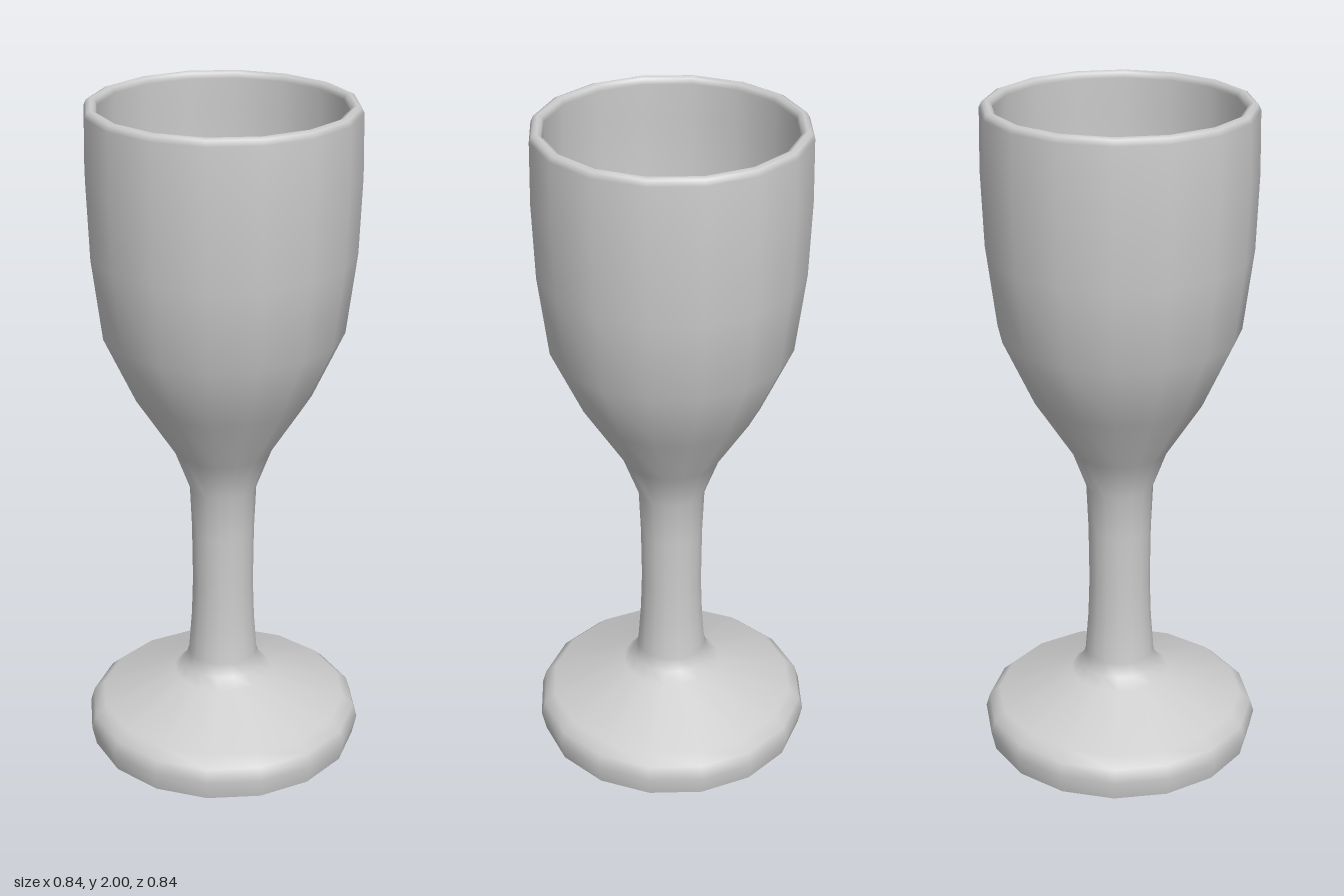
import * as THREE from 'three';

const SIDES = 16;

export function createModel() {
  const group = new THREE.Group();
  group.name = 'goblet';
  const grey = new THREE.MeshStandardMaterial({ color: 0xcccccc });
  grey.name = 'plain grey';

  // Revolves [radius, height] pairs around the y axis
  const turn = (name, profile) => {
    const points = profile.map(([r, y]) => new THREE.Vector2(r, y));
    const mesh = new THREE.Mesh(new THREE.LatheGeometry(points, SIDES), grey);
    mesh.name = name;
    group.add(mesh);
  };

  // Flat underside of the foot
  turn('footUnderside', [[0, 0], [0.407, 0]]);

  // Foot, stem, bowl and rounded rim in one smooth skin, then down the inner wall
  turn('body', [
    [0.407, 0], [0.42, 0.06], [0.408, 0.1], [0.375, 0.13],
    [0.15, 0.212], [0.118, 0.24], [0.105, 0.28], [0.096, 0.4],
    [0.092, 0.52], [0.094, 0.7], [0.1, 0.84],
    [0.145, 0.96], [0.26, 1.14], [0.352, 1.34], [0.382, 1.58],
    [0.39, 1.8], [0.387, 1.98], [0.38, 1.995], [0.367, 2], [0.355, 1.995],
    [0.35, 1.98], [0.356, 1.88], [0.356, 1.71], [0.353, 1.6], [0.344, 1.4],
  ]);

  // Flat floor inside the bowl
  turn('bowlFloor', [[0.344, 1.4], [0, 1.4]]);

  return group;
}
